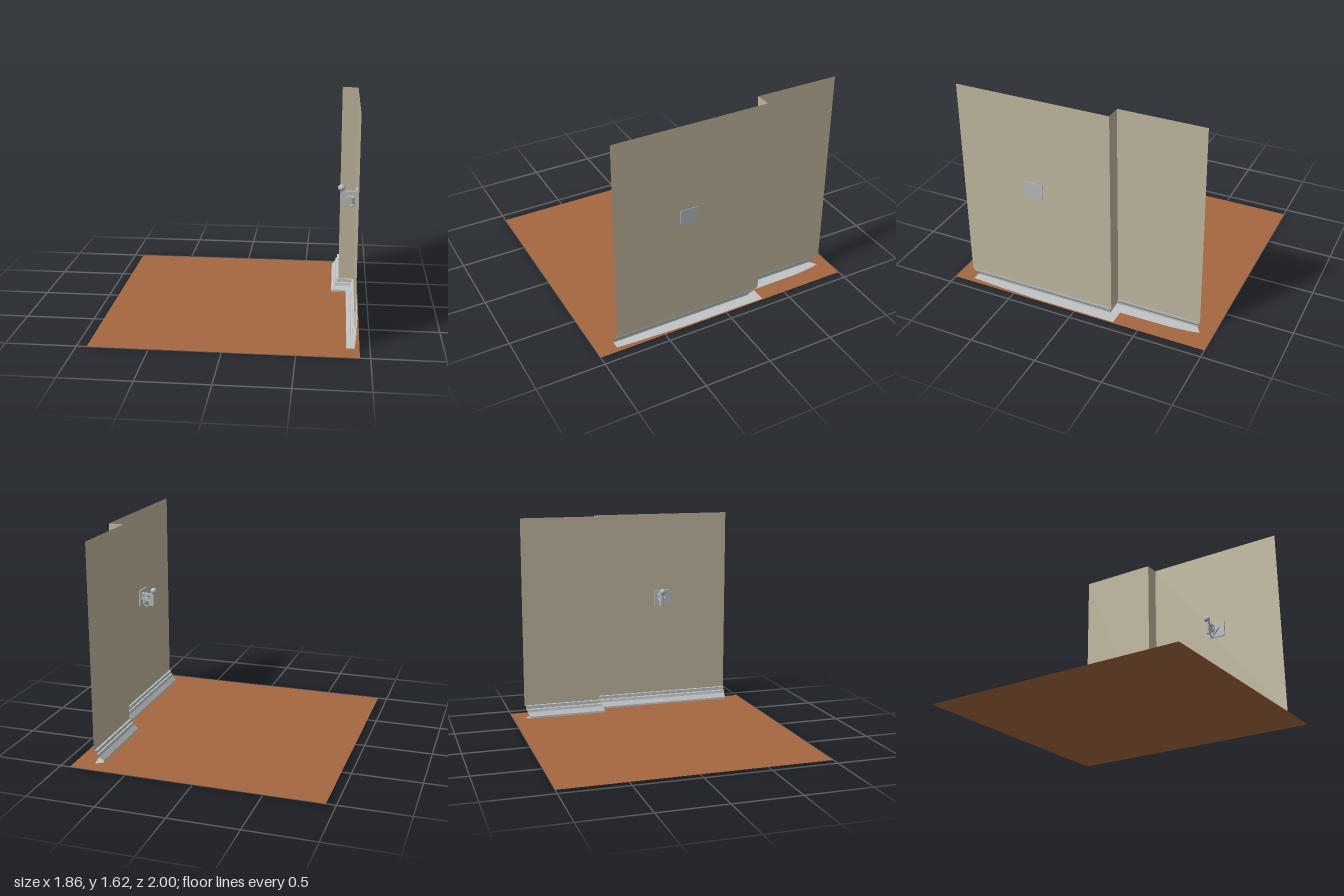
import * as THREE from 'three';

const mat = (name, color) => {
  const m = new THREE.MeshStandardMaterial({ color, side: THREE.DoubleSide });
  m.name = name;
  return m;
};

// Sheet through rows of points, one flat quad per cell
function sheet(rows) {
  const pos = [];
  for (let i = 0; i < rows.length - 1; i++) {
    for (let j = 0; j < rows[i].length - 1; j++) {
      const a = rows[i][j], b = rows[i][j + 1], c = rows[i + 1][j + 1], d = rows[i + 1][j];
      pos.push(...a, ...b, ...c, ...a, ...c, ...d);
    }
  }
  const g = new THREE.BufferGeometry();
  g.setAttribute('position', new THREE.Float32BufferAttribute(pos, 3));
  g.computeVertexNormals();
  return g;
}

// Stepped run of the wall; d is the distance out from the wall into the room
const run = (d, y) => [
  [0.895 - d, y, 0.86],
  [0.895 - d, y, -0.283 + 0.65 * d],
  [0.78 - d, y, -0.283 + 0.65 * d],
  [0.78 - d, y, -0.908 + 0.65 * d],
];

export function createModel() {
  const group = new THREE.Group();
  const wallPaint = mat('beige wall paint', 0xbeb59c);
  const floorWood = mat('brown floor', 0xa5673f);
  const trimPaint = mat('pale grey trim', 0xc0c4c4);
  const metal = mat('grey metal', 0xb4b9bc);

  const add = (name, geometry, material, parent = group) => {
    const m = new THREE.Mesh(geometry, material);
    m.name = name;
    parent.add(m);
    return m;
  };

  // Floor
  add('floor', new THREE.PlaneGeometry(1.858, 2).rotateX(-Math.PI / 2), floorWood);

  // Stepped wall, leaning very slightly into the room
  add('wall', sheet([run(0, 0.1), run(0.006, 1.62)]), wallPaint);

  // Moulded skirting board swept along the wall
  const profile = [
    [0.057, 0.005], [0.056, 0.02], [0.03, 0.05], [0.025, 0.072],
    [0.014, 0.075], [0.014, 0.1], [0, 0.102],
  ];
  add('skirtingBoard', sheet(profile.map(([d, y]) => run(d, y))), trimPaint);

  // Flat foot under the skirting, widening towards the step
  const foot = new THREE.Shape([
    [0.838, 0.86], [0.838, -0.246], [0.723, -0.246], [0.723, -0.871],
    [0.775, -0.908], [0.79, -0.84], [0.803, -0.7], [0.807, -0.31],
    [0.924, -0.31], [0.922, 0.3], [0.91, 0.62], [0.895, 0.86],
  ].map(([x, z]) => new THREE.Vector2(x, z)));
  add('skirtingFoot', new THREE.ShapeGeometry(foot).rotateX(Math.PI / 2).translate(0, 0.005, 0), trimPaint);

  // Wall hook
  const hook = new THREE.Group();
  hook.name = 'wallHook';
  group.add(hook);
  add('backPlate', new THREE.BoxGeometry(0.015, 0.125, 0.14), metal, hook).position.set(0.888, 0.918, 0.3);

  // Bracket with an open centre, standing out from the plate
  const bracket = new THREE.Shape([
    [0.885, 0.96], [0.81, 0.957], [0.79, 0.985], [0.775, 0.975],
    [0.782, 0.86], [0.808, 0.858], [0.83, 0.895], [0.885, 0.905],
  ].map(([x, y]) => new THREE.Vector2(x, y)));
  bracket.holes.push(new THREE.Path([
    [0.87, 0.942], [0.81, 0.94], [0.808, 0.905], [0.825, 0.92], [0.87, 0.925],
  ].map(([x, y]) => new THREE.Vector2(x, y))));
  const bracketGeo = new THREE.ExtrudeGeometry(bracket, { depth: 0.024, bevelEnabled: false });
  add('bracket', bracketGeo, metal, hook).position.z = 0.258;

  // Knob on the tip and round collar below
  add('knob', new THREE.SphereGeometry(0.025, 20, 14), metal, hook).position.set(0.78, 0.981, 0.27);
  add('collar', new THREE.TorusGeometry(0.028, 0.006, 8, 20), metal, hook).position.set(0.843, 0.877, 0.275);
  const strut = add('strut', new THREE.CylinderGeometry(0.007, 0.007, 0.075, 10), metal, hook);
  strut.position.set(0.865, 0.9, 0.305);
  strut.rotation.x = 0.7;

  return group;
}
